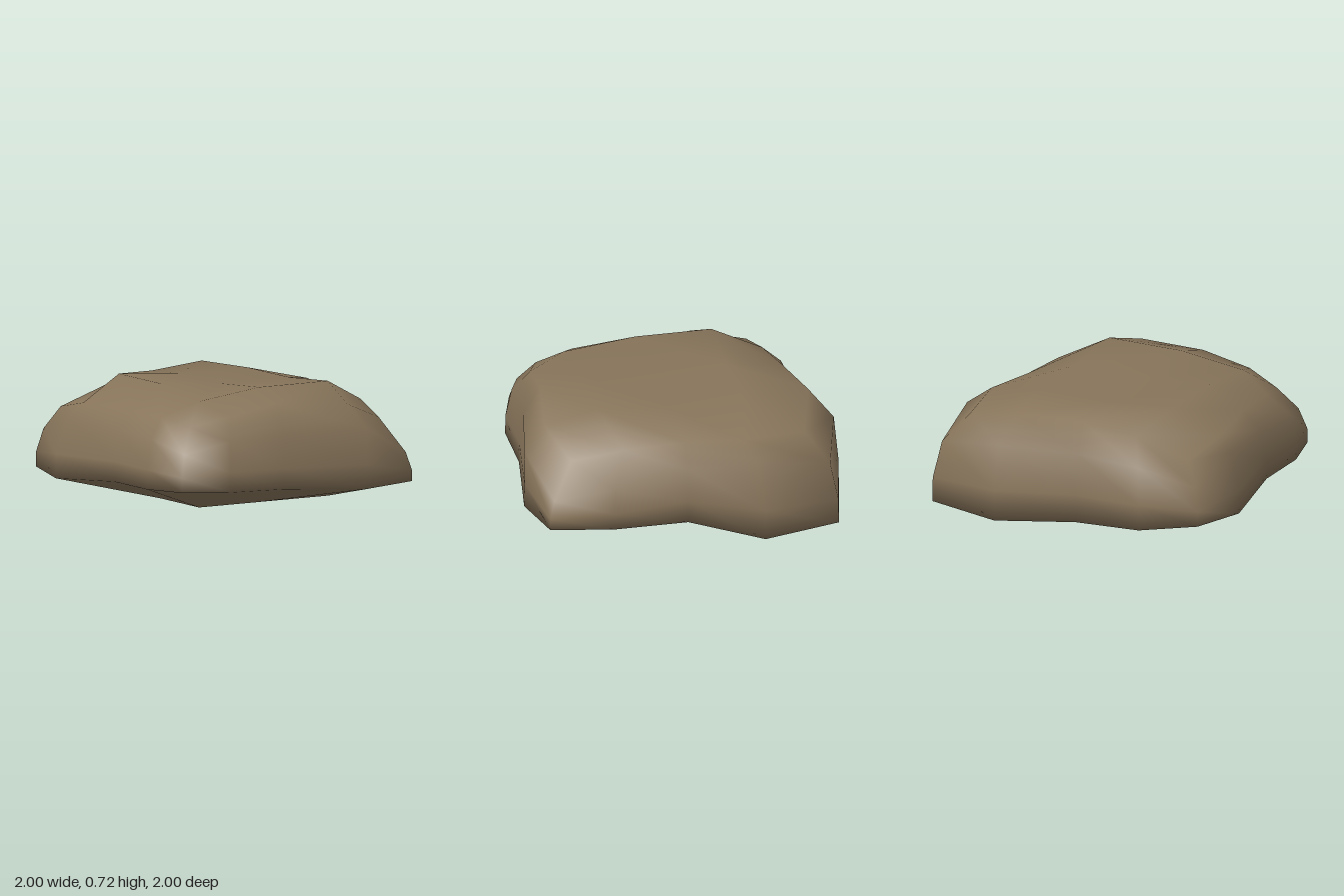
import * as THREE from 'three';

// Rim of the boulder, clockwise from the back right corner, four spans per side:
// x, z, height of lower edge, upper wall scale and height, shoulder scale and height
const RIM = [
  [-0.91, -0.78, 0.12, 0.96, 0.36, 0.87, 0.5],
  [-0.54, -0.865, 0.06, 0.97, 0.46, 0.81, 0.61],
  [-0.1, -0.865, 0.04, 0.97, 0.48, 0.86, 0.66],
  [0.4, -1, 0.01, 0.97, 0.5, 0.82, 0.68],
  [0.89, -0.89, 0.02, 0.95, 0.41, 0.8, 0.58],
  [1, -0.4, 0.01, 0.92, 0.5, 0.78, 0.6],
  [0.86, 0.06, 0.11, 0.97, 0.46, 0.83, 0.59],
  [0.86, 0.53, 0.11, 0.98, 0.37, 0.82, 0.57],
  [0.78, 0.92, 0.11, 0.965, 0.29, 0.82, 0.5],
  [0.4, 1, 0.1, 1, 0.48, 0.86, 0.62],
  [-0.15, 0.91, 0.13, 0.97, 0.46, 0.86, 0.65],
  [-0.54, 0.91, 0.14, 0.96, 0.45, 0.85, 0.59],
  [-0.84, 0.82, 0.15, 0.95, 0.38, 0.83, 0.53],
  [-0.91, 0.53, 0.14, 0.955, 0.45, 0.83, 0.57],
  [-0.91, 0.14, 0.14, 0.955, 0.46, 0.83, 0.57],
  [-1, -0.4, 0.1, 0.93, 0.48, 0.84, 0.57],
];
const N = RIM.length;
const GRID_X = [-0.54, -0.1, 0.4];
const GRID_Z = [-0.4, 0.08, 0.54];
const TOP_Y = [
  [0.72, 0.685, 0.685],
  [0.72, 0.685, 0.685],
  [0.665, 0.72, 0.72],
];

function createBoulderGeometry() {
  const pos = [];
  const index = [];
  const quad = (a, b, c, d) => index.push(a, b, c, a, c, d);

  // Wall rings: lower edge, belly, upper wall, shoulder
  const rings = [
    ([x, z, y]) => [x, y, z],
    ([x, z, y, , top]) => [x * 0.998, y + (top - y) * 0.4, z * 0.998],
    ([x, z, , s, y]) => [x * s, y, z * s],
    ([x, z, , , , s, y]) => [x * s, y, z * s],
  ];
  for (const ring of rings) for (const p of RIM) pos.push(...ring(p));
  for (let r = 0; r < rings.length - 1; r++) {
    for (let k = 0; k < N; k++) {
      const a = r * N + k;
      const b = r * N + (k + 1) % N;
      quad(a, a + N, b + N, b);
    }
  }

  // Caps: a 5 x 5 grid whose border is a wall ring
  function cap(ring, height, up) {
    const first = pos.length / 3;
    GRID_Z.forEach((z, j) => GRID_X.forEach((x, i) => pos.push(x, height(i, j), z)));
    const at = (i, j) => {
      if (j === 0) return ring * N + i;
      if (i === 4) return ring * N + 4 + j;
      if (j === 4) return ring * N + 12 - i;
      if (i === 0) return ring * N + 16 - j;
      return first + (j - 1) * 3 + i - 1;
    };
    for (let j = 0; j < 4; j++) {
      for (let i = 0; i < 4; i++) {
        const q = [at(i, j + 1), at(i + 1, j + 1), at(i + 1, j), at(i, j)];
        quad(...(up ? q : q.reverse()));
      }
    }
  }
  cap(0, () => 0, false);
  cap(rings.length - 1, (i, j) => TOP_Y[j][i], true);

  const geometry = new THREE.BufferGeometry();
  geometry.setAttribute('position', new THREE.Float32BufferAttribute(pos, 3));
  geometry.setIndex(index);
  geometry.computeVertexNormals();
  return geometry;
}

export function createModel() {
  const group = new THREE.Group();
  group.name = 'rock';
  const boulder = new THREE.Mesh(
    createBoulderGeometry(),
    new THREE.MeshStandardMaterial({ color: 0x87745a })
  );
  boulder.name = 'boulder';
  group.add(boulder);
  return group;
}
